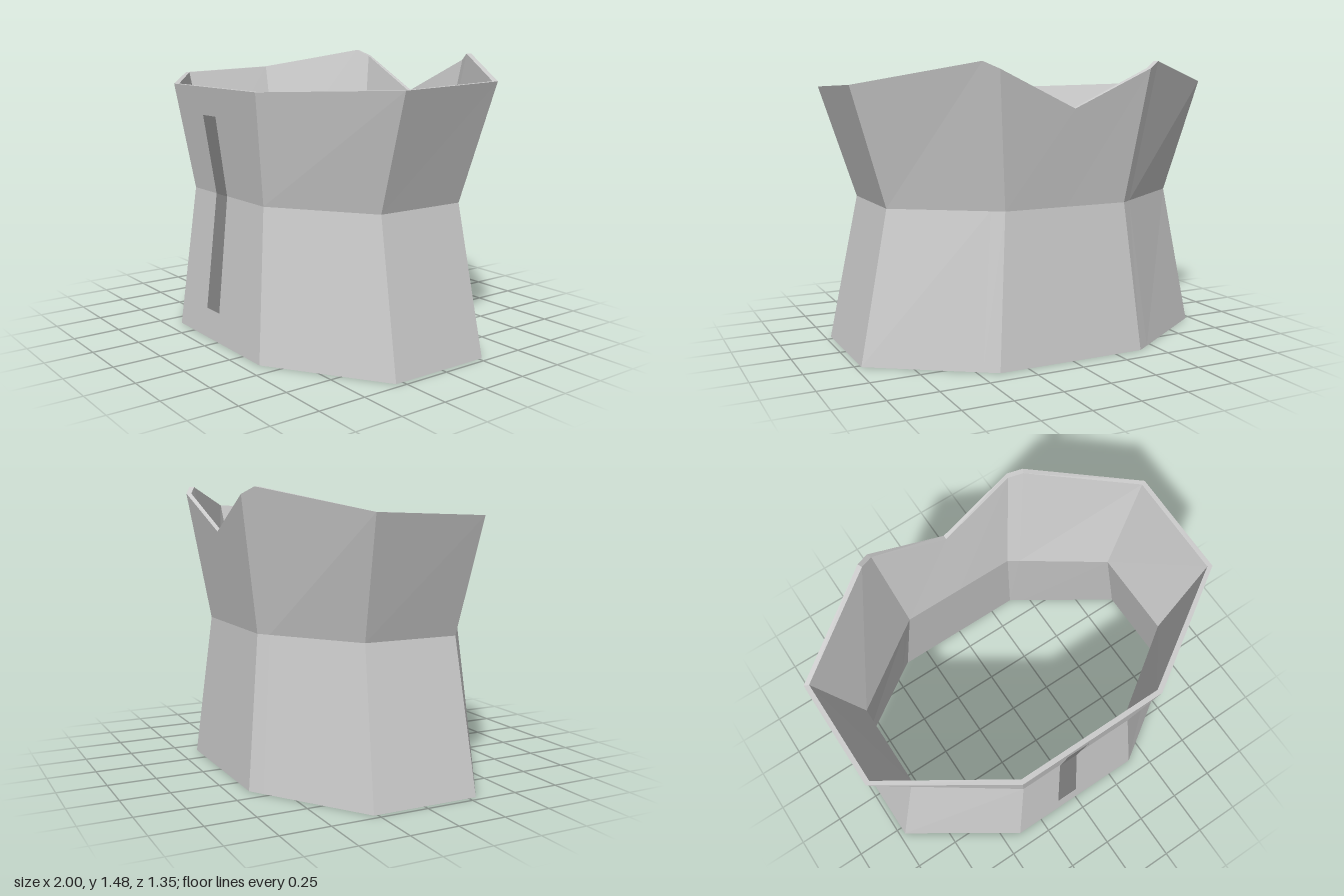
import * as THREE from 'three';

const WAIST = 0.765;

// Corner columns of one half, front to back: base [x, z], waist [x, z], rim [x, y, z]
const HALF = [
  [[0.4, 0.67], [0.335, 0.595], [0.4, 1.32, 0.675]],
  [[0.97, 0.29], [0.815, 0.26], [1, 1.345, 0.285]],
  [[0.97, -0.27], [0.815, -0.235], [1, 1.365, -0.285]],
  [[0.47, -0.604], [0.393, -0.53], [0.48, 1.475, -0.635]],
  [[0.4, -0.65], [0.335, -0.57], [0.41, 1.44, -0.675]],
];
const BACK_CENTRE = [[0, -0.65], [0, -0.57], [0, 1.25, -0.647]];

// Closed wall section at one column: up the outside, down the inside
function wallSection([base, waist, rim], side) {
  const outer = [
    [base[0] * side, 0, base[1]],
    [waist[0] * side, WAIST, waist[1]],
    [rim[0] * side, rim[1], rim[2]],
  ];
  const inner = outer.map(([x, y, z]) => [x * 0.976, y, z * 0.963]).reverse();
  return [...outer, ...inner];
}

function bodyGeometry() {
  const columns = [
    ...HALF.map((c) => wallSection(c, 1)),
    wallSection(BACK_CENTRE, 1),
    ...[...HALF].reverse().map((c) => wallSection(c, -1)),
  ];
  const positions = [];
  columns.forEach((a, i) => {
    const b = columns[(i + 1) % columns.length];
    a.forEach((p, j) => {
      const k = (j + 1) % a.length;
      positions.push(...p, ...b[j], ...b[k], ...p, ...b[k], ...a[k]);
    });
  });
  const geometry = new THREE.BufferGeometry();
  geometry.setAttribute('position', new THREE.Float32BufferAttribute(positions, 3));
  geometry.computeVertexNormals();
  return geometry;
}

// Narrow strip bent over the waist of the front panel
function stripGeometry() {
  const geometry = new THREE.PlaneGeometry(1, 1, 1, 2).toNonIndexed();
  const pos = geometry.attributes.position;
  for (let i = 0; i < pos.count; i++) {
    const v = pos.getY(i);
    const [width, y, z] = v > 0.1 ? [0.125, 1.175, 0.654] : v < -0.1 ? [0.125, 0.155, 0.655] : [0.107, WAIST, 0.595];
    pos.setXYZ(i, (pos.getX(i) - 0.5) * width, y, z + 0.004);
  }
  geometry.computeVertexNormals();
  return geometry;
}

export function createModel() {
  const group = new THREE.Group();
  group.name = 'corset';

  const body = new THREE.Mesh(
    bodyGeometry(),
    new THREE.MeshStandardMaterial({ color: 0xcccccc, flatShading: true })
  );
  body.name = 'body';

  const strip = new THREE.Mesh(
    stripGeometry(),
    new THREE.MeshStandardMaterial({ color: 0x888888, flatShading: true, side: THREE.DoubleSide })
  );
  strip.name = 'frontStrip';

  group.add(body, strip);
  return group;
}
